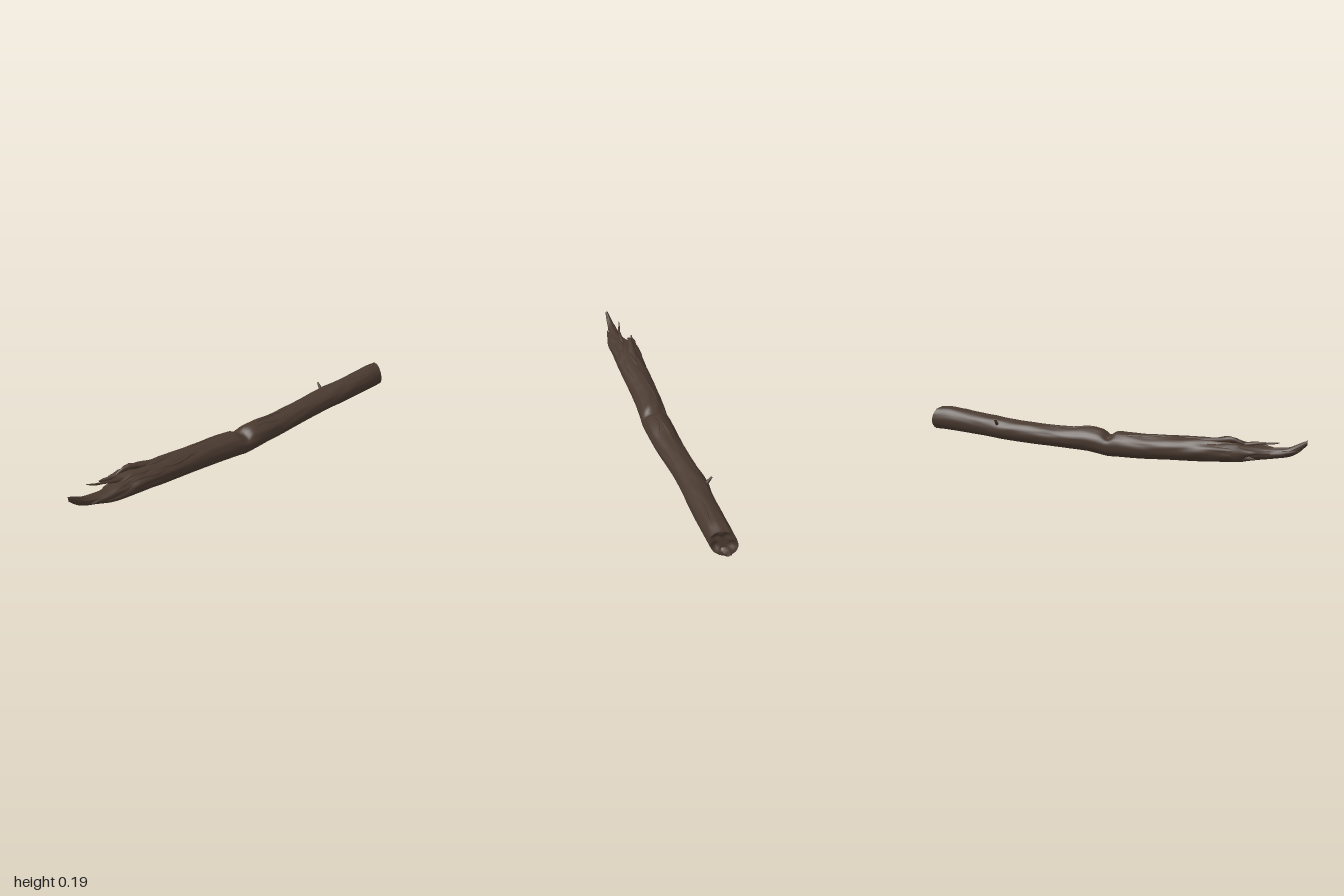
import * as THREE from 'three';

const bark = new THREE.MeshStandardMaterial({ color: 0x4a3a30 });
bark.name = 'dark bark';

// Log outline at stations along its length: x, top y, bottom y, back z, front z
const stations = [
  [-1.0, 0.188, 0.166, -0.002, 0.012],
  [-0.96, 0.168, 0.125, -0.012, 0.016],
  [-0.92, 0.148, 0.103, -0.02, 0.02],
  [-0.86, 0.138, 0.088, -0.026, 0.034],
  [-0.82, 0.136, 0.079, -0.032, 0.05],
  [-0.77, 0.14, 0.07, -0.045, 0.06],
  [-0.71, 0.146, 0.06, -0.072, 0.062],
  [-0.65, 0.155, 0.053, -0.085, 0.063],
  [-0.5, 0.152, 0.037, -0.08, 0.065],
  [-0.35, 0.144, 0.025, -0.074, 0.065],
  [-0.2, 0.136, 0.012, -0.07, 0.066],
  [-0.07, 0.131, 0.004, -0.06, 0.075],
  [-0.02, 0.124, 0.001, -0.056, 0.08],
  [0.04, 0.135, 0.007, -0.053, 0.084],
  [0.1, 0.137, 0.013, -0.05, 0.085],
  [0.22, 0.126, 0.016, -0.05, 0.08],
  [0.42, 0.13, 0.02, -0.053, 0.067],
  [0.57, 0.139, 0.025, -0.058, 0.068],
  [0.68, 0.146, 0.03, -0.046, 0.074],
  [0.8, 0.156, 0.034, -0.041, 0.076],
  [0.9, 0.164, 0.038, -0.037, 0.077],
  [0.97, 0.161, 0.04, -0.036, 0.076],
];

const smooth = (a, b, x) => THREE.MathUtils.smoothstep(x, a, b);
const bump = (x, c, w) => Math.exp(-(((x - c) / w) ** 2));

// Smooth outline values at a given x
function outline(x) {
  let i = 0;
  while (i < stations.length - 2 && x > stations[i + 1][0]) i++;
  const at = k => stations[Math.min(Math.max(k, 0), stations.length - 1)];
  const p = at(i), q = at(i + 1), before = at(i - 1), after = at(i + 2);
  const h = q[0] - p[0], t = (x - p[0]) / h;
  return [1, 2, 3, 4].map(k => {
    const m0 = (q[k] - before[k]) / (q[0] - before[0]) * h;
    const m1 = (after[k] - p[k]) / (after[0] - p[0]) * h;
    return (2 * t ** 3 - 3 * t * t + 1) * p[k] + (t ** 3 - 2 * t * t + t) * m0
      + (3 * t * t - 2 * t ** 3) * q[k] + (t ** 3 - t * t) * m1;
  });
}

// Wood grain: long wavy ridges, rougher on the upper side and near the break
function grain(x, a) {
  const upper = 0.3 + 0.7 * smooth(-0.3, 0.6, Math.sin(a));
  const broken = 1 + 1.8 * (1 - smooth(-0.7, -0.35, x));
  const ridges = Math.sin(7 * a + 3 * Math.sin(5 * x) + 2 * Math.sin(13 * x + a))
    + 0.7 * Math.sin(11 * a - 4 * x + 2 * Math.sin(9 * x))
    + 0.6 * Math.sin(23 * x + 3 * a) * Math.sin(41 * x - 2 * a);
  return 0.016 * upper * broken * ridges;
}

// Point on the log surface; s shrinks the ring towards its centre
function logPoint(x, a, s = 1) {
  const [top, bottom, back, front] = outline(x);
  const r = s * (1 + grain(x, a));
  let y = (top + bottom) / 2 + (top - bottom) / 2 * Math.sin(a) * r;
  const z = (back + front) / 2 + (front - back) / 2 * Math.cos(a) * r;
  // Notch across the top at mid length
  const up = smooth(0.3, 0.9, Math.sin(a));
  y -= up * s * 0.016 * bump(x, -0.02 + 0.15 * (z - 0.02), 0.022);
  // Slanted cut at the thick end
  const slant = smooth(0.78, 0.97, x);
  return [x + slant * (-0.4 * (z - 0.02) - 0.13 * (y - 0.1)), Math.max(y, 0), z];
}

// Closed tube surface from rows of points
function loft(rows, cols, point) {
  const positions = [], index = [];
  for (let i = 0; i <= rows; i++)
    for (let j = 0; j < cols; j++) positions.push(...point(i / rows, j / cols * Math.PI * 2));
  for (let i = 0; i < rows; i++)
    for (let j = 0; j < cols; j++) {
      const a = i * cols + j, b = i * cols + (j + 1) % cols;
      index.push(a, a + cols, b + cols, a, b + cols, b);
    }
  const geometry = new THREE.BufferGeometry();
  geometry.setAttribute('position', new THREE.Float32BufferAttribute(positions, 3));
  geometry.setIndex(index);
  geometry.computeVertexNormals();
  return geometry;
}

// Tapered sliver along a curve; each point is x, y, z, half height, half depth
function sliver(points, twist = 0) {
  const curve = new THREE.CatmullRomCurve3(points.map(p => new THREE.Vector3(p[0], p[1], p[2])));
  const size = (t, k) => {
    const f = t * (points.length - 1), i = Math.min(Math.floor(f), points.length - 2);
    return THREE.MathUtils.lerp(points[i][k], points[i + 1][k], f - i);
  };
  return loft(18, 10, (t, a) => {
    const c = curve.getPoint(t);
    const rough = 1 + 0.15 * Math.sin(3 * a + 17 * t + twist);
    const u = Math.sin(a) * size(t, 3) * rough, v = Math.cos(a) * size(t, 4) * rough;
    return [c.x, c.y + u * Math.cos(twist) - v * Math.sin(twist), c.z + u * Math.sin(twist) + v * Math.cos(twist)];
  });
}

export function createModel() {
  const group = new THREE.Group();
  const add = (name, geometry) => {
    const mesh = new THREE.Mesh(geometry, bark);
    mesh.name = name;
    group.add(mesh);
  };

  // Trunk of the branch
  add('log', loft(200, 44, (t, a) => logPoint(-1 + 1.97 * t, a)));

  // Rough cut face at the thick end, slightly dished with lumps
  add('cutEnd', loft(8, 44, (t, a) => {
    const [x, y, z] = logPoint(0.97, a, 1 - t);
    const edge = Math.sin(Math.PI * Math.min(t * 1.6, 1));
    return [x - 0.012 * smooth(0, 0.5, t) + 0.005 * edge * Math.sin(5 * a + 1), y, z];
  }));
  add('cutTip', sliver([
    [0.93, 0.062, 0.01, 0, 0], [0.955, 0.06, 0.008, 0.018, 0.025],
    [0.985, 0.056, 0.004, 0.014, 0.022], [1.0, 0.052, 0, 0.003, 0.006]]));

  // Splinters left where the thin end broke; listed from root to tip by increasing x
  const splinters = [
    [[-0.79, 0.126, -0.082, 0.003, 0.002], [-0.75, 0.12, -0.076, 0.014, 0.009],
      [-0.69, 0.112, -0.066, 0.035, 0.02], [-0.58, 0.105, -0.055, 0.04, 0.02], [-0.48, 0.1, -0.04, 0.02, 0.01]],
    [[-0.78, 0.092, -0.07, 0.002, 0.002], [-0.73, 0.092, -0.066, 0.015, 0.01],
      [-0.66, 0.09, -0.055, 0.025, 0.02], [-0.58, 0.09, -0.045, 0.02, 0.01]],
    [[-0.88, 0.175, -0.036, 0.002, 0.002], [-0.85, 0.166, -0.028, 0.005, 0.004],
      [-0.79, 0.157, -0.014, 0.006, 0.006], [-0.72, 0.142, -0.008, 0.012, 0.012], [-0.66, 0.13, -0.008, 0, 0]],
    [[-0.72, 0.152, -0.045, 0.003, 0.004], [-0.685, 0.163, -0.042, 0.011, 0.01],
      [-0.65, 0.167, -0.038, 0.015, 0.014], [-0.59, 0.155, -0.03, 0.014, 0.02], [-0.46, 0.142, -0.02, 0.006, 0.01]],
    [[-0.975, 0.14, -0.004, 0.002, 0.002], [-0.93, 0.127, -0.014, 0.009, 0.007],
      [-0.87, 0.113, -0.016, 0.016, 0.014], [-0.78, 0.1, -0.015, 0.02, 0.015]],
    [[-0.9, 0.115, 0.03, 0.002, 0.002], [-0.86, 0.115, 0.035, 0.012, 0.006],
      [-0.78, 0.118, 0.045, 0.018, 0.01], [-0.66, 0.115, 0.045, 0.012, 0.008]],
  ];
  splinters.forEach((points, i) => add('splinter' + (i + 1), sliver(points)));

  // Loose bark strips lying along the upper side: start x, end x, angle, thickness
  const strips = [
    [-0.78, -0.56, 1.25, 0.006], [-0.7, -0.5, 0.75, 0.005], [-0.64, -0.42, 1.7, 0.006],
    [-0.52, -0.3, 0.95, 0.004], [-0.36, -0.06, 1.9, 0.004], [0.01, 0.34, 1.65, 0.004],
    [0.02, 0.2, 1.15, 0.004], [0.72, 0.93, 1.1, 0.004],
  ];
  strips.forEach(([x0, x1, angle, h], i) => {
    const points = [0, 0.25, 0.5, 0.75, 1].map(t => {
      const [x, y, z] = logPoint(x0 + (x1 - x0) * t, angle + 0.12 * Math.sin(5 * t + i), 0.99);
      const w = Math.sin(Math.PI * (0.06 + 0.88 * t));
      return [x, y, z, h * w, h * 1.8 * w];
    });
    add('barkStrip' + (i + 1), sliver(points, Math.PI / 2 - angle));
  });

  // Small broken twig stub on the back
  const stub = new THREE.CylinderGeometry(0.004, 0.011, 0.045, 9);
  stub.rotateX(-0.7);
  stub.translate(0.59, 0.127, -0.051);
  add('twigStub', stub);

  return group;
}
